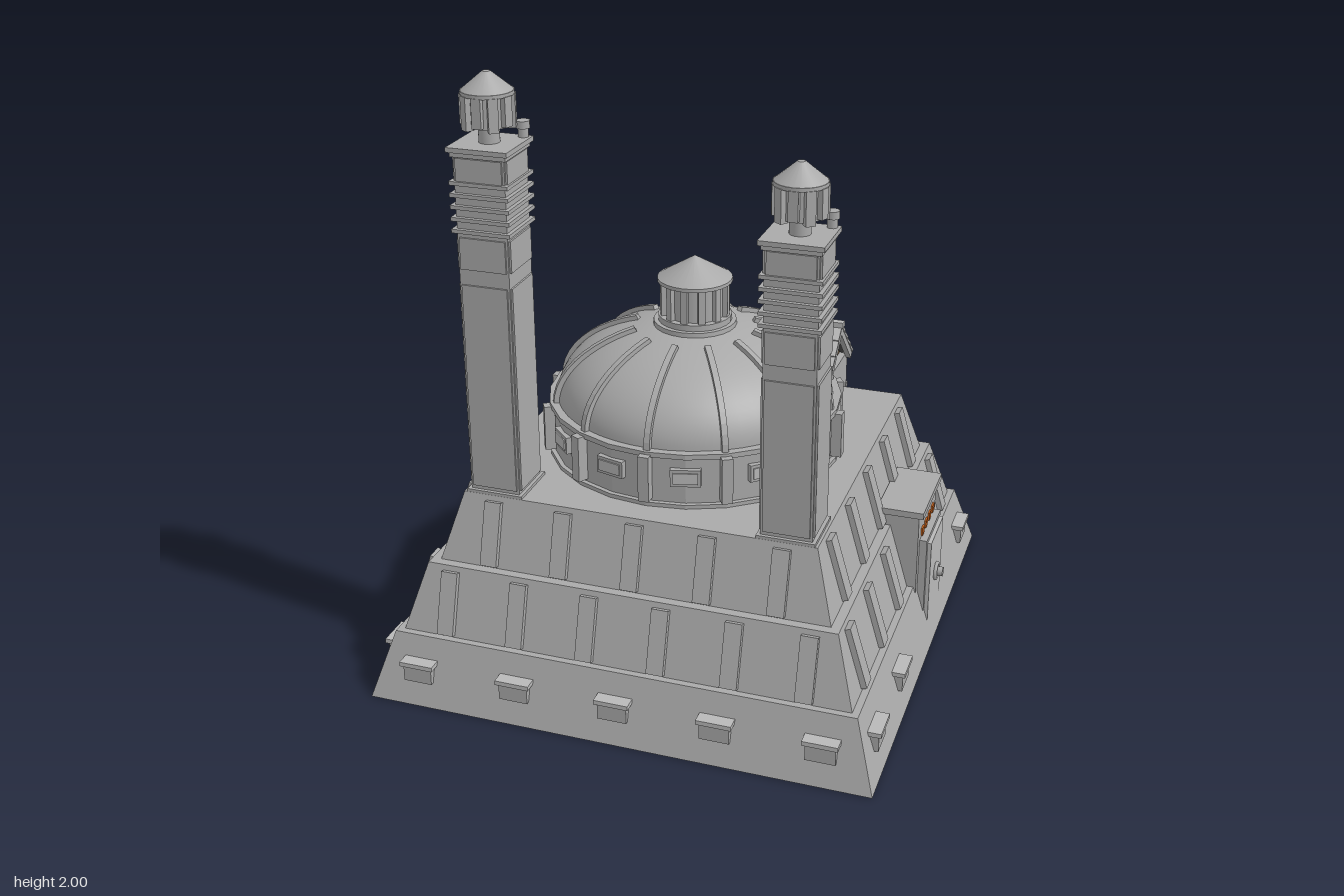
import * as THREE from 'three';

const mat = (name, color) => Object.assign(new THREE.MeshStandardMaterial({ color }), { name });
const stone = mat('stone grey', 0xa9a9a9);
const pale = mat('pale stone', 0xb8b8b8);
const dark = mat('dark iron', 0x4a4a4a);
const brown = mat('attic brown', 0x5c4a34);
const orange = mat('copper orange', 0xc8641e);

function add(parent, name, geo, m, x = 0, y = 0, z = 0) {
  const mesh = new THREE.Mesh(geo, m);
  mesh.name = name;
  mesh.position.set(x, y, z);
  parent.add(mesh);
  return mesh;
}
function group(parent, name, x = 0, y = 0, z = 0, ry = 0) {
  const g = new THREE.Group();
  g.name = name;
  g.position.set(x, y, z);
  g.rotation.y = ry;
  parent.add(g);
  return g;
}
// Box given by its centre in x and z and its bottom and top in y
const box = (p, name, m, w, d, y0, y1, x = 0, z = 0) =>
  add(p, name, new THREE.BoxGeometry(w, y1 - y0, d), m, x, (y0 + y1) / 2, z);
// Round part between two heights
const cyl = (p, name, m, rTop, rBot, y0, y1, x = 0, z = 0, n = 24) =>
  add(p, name, new THREE.CylinderGeometry(rTop, rBot, y1 - y0, n), m, x, (y0 + y1) / 2, z);
const flat = (geo) => {
  const g = geo.toNonIndexed();
  g.computeVertexNormals();
  return g;
};

// Three stepped, sloping tiers with buttresses and vents
function buildBase(root) {
  const base = group(root, 'base', -0.005, 0, 0.097);
  const tiers = [
    { y: 0, h: 0.22, bot: 0.825, top: 0.757, n: 0 },
    { y: 0.22, h: 0.22, bot: 0.735, top: 0.67, n: 6 },
    { y: 0.44, h: 0.222, bot: 0.64, top: 0.576, n: 5 },
  ];
  for (const t of tiers) {
    const geo = new THREE.CylinderGeometry(t.top * Math.SQRT2, t.bot * Math.SQRT2, t.h, 4);
    geo.rotateY(Math.PI / 4);
    add(base, 'tier', flat(geo), stone, 0, t.y + t.h / 2, 0);
    const lean = Math.atan2(t.bot - t.top, t.h);
    for (let side = 0; side < 4; side++) {
      const face = group(base, 'tierSide', 0, 0, 0, side * Math.PI / 2);
      for (let i = 0; i < t.n; i++) {
        const b = box(face, 'buttress', stone, 0.055, 0.03, t.y + 0.003, t.y + t.h - 0.012,
          (i - (t.n - 1) / 2) * 0.235, (t.bot + t.top) / 2 + 0.005);
        b.rotation.x = -lean;
      }
      if (t.n) continue;
      for (let i = -2; i <= 2; i++) {
        // leave room for the gatehouse and the side porch
        if (side === 2 && Math.abs(i) < 2) continue;
        if (side === 1 && (i === 0 || i === 1)) continue;
        box(face, 'vent', stone, 0.095, 0.06, 0.08, 0.14, i * 0.33, 0.783);
        box(face, 'ventCap', pale, 0.112, 0.064, 0.135, 0.15, i * 0.33, 0.79);
      }
    }
  }
}

// Drum, ribbed dome and lantern
function buildDome(root) {
  const dome = group(root, 'dome', -0.005, 0, 0.1);
  add(dome, 'drum', flat(new THREE.CylinderGeometry(0.47, 0.47, 0.19, 24)), stone, 0, 0.75, 0);
  for (const [y0, y1, r] of [[0.66, 0.675, 0.485], [0.83, 0.847, 0.483]])
    add(dome, 'drumRing', flat(new THREE.CylinderGeometry(r, r, y1 - y0, 24)), stone, 0, (y0 + y1) / 2, 0);

  const arc = (r, h, t) => new THREE.Vector2(r * Math.cos(t), 0.84 + h * Math.sin(t));
  const shell = [];
  for (let i = 0; i <= 16; i++) shell.push(arc(0.455, 0.262, i / 16 * 1.4));
  add(dome, 'domeShell', new THREE.LatheGeometry(shell, 48), stone);

  const rib = [];
  for (let i = 0; i <= 10; i++) rib.push(arc(0.472, 0.277, i / 10 * 1.13));
  for (let i = 10; i >= 0; i--) rib.push(arc(0.44, 0.25, i / 10 * 1.13));
  const ribGeo = new THREE.ExtrudeGeometry(new THREE.Shape(rib), { depth: 0.02, bevelEnabled: false });
  ribGeo.translate(0, 0, -0.01);
  for (let i = 0; i < 12; i++) {
    const a = i * Math.PI / 6;
    add(dome, 'rib', ribGeo, stone).rotation.y = a;
    const bay = group(dome, 'drumBay', 0, 0, 0, a);
    box(bay, 'pilaster', stone, 0.035, 0.035, 0.685, 0.838, 0, 0.487);
    const mid = group(dome, 'drumWindow', 0, 0, 0, a + Math.PI / 12);
    box(mid, 'windowFrame', stone, 0.096, 0.03, 0.738, 0.795, 0, 0.468);
    box(mid, 'windowPane', pale, 0.078, 0.008, 0.748, 0.785, 0, 0.483);
  }

  cyl(dome, 'lanternBase', stone, 0.135, 0.138, 1.07, 1.105);
  cyl(dome, 'lanternStep', stone, 0.12, 0.12, 1.1, 1.125);
  cyl(dome, 'lanternBody', stone, 0.098, 0.098, 1.12, 1.245);
  for (let i = 0; i < 12; i++) {
    const col = group(dome, 'lanternColumn', 0, 0, 0, i * Math.PI / 6);
    box(col, 'column', stone, 0.022, 0.02, 1.125, 1.24, 0, 0.103);
  }
  cyl(dome, 'lanternEave', stone, 0.122, 0.122, 1.238, 1.25);
  cyl(dome, 'lanternRoof', stone, 0.004, 0.12, 1.25, 1.32);
}

// Square tower with banded shaft and a small round lantern
function buildTower(root, x, top) {
  const t = group(root, 'tower', x, 0, 0.58);
  box(t, 'shaft', stone, 0.162, 0.162, 0.65, top);
  box(t, 'plinth', stone, 0.185, 0.185, 0.655, 0.672);
  for (let s = 0; s < 4; s++) {
    const f = group(t, 'towerSide', 0, 0, 0, s * Math.PI / 2);
    box(f, 'lowerPanel', stone, 0.148, 0.012, 0.685, top - 0.41, 0, 0.081);
    box(f, 'upperPanel', stone, 0.148, 0.012, top - 0.36, top - 0.26, 0, 0.081);
    box(f, 'topPanel', stone, 0.148, 0.012, top - 0.085, top - 0.015, 0, 0.081);
  }
  for (let i = 0; i < 5; i++)
    box(t, 'band', stone, 0.188, 0.188, top - 0.245 + i * 0.037, top - 0.233 + i * 0.037);
  box(t, 'ledge', stone, 0.178, 0.178, top - 0.012, top + 0.005);
  box(t, 'cap', stone, 0.195, 0.195, top + 0.003, top + 0.018);
  cyl(t, 'neck', stone, 0.032, 0.032, top + 0.01, top + 0.08);
  cyl(t, 'turret', stone, 0.067, 0.067, top + 0.07, top + 0.17);
  for (let i = 0; i < 10; i++) {
    const f = group(t, 'turretSlat', 0, 0, 0, i * Math.PI / 5);
    box(f, 'slat', stone, 0.03, 0.024, top + (i % 2 ? 0.063 : 0.075), top + 0.165, 0, 0.07);
  }
  cyl(t, 'turretEave', stone, 0.08, 0.08, top + 0.163, top + 0.175);
  cyl(t, 'turretRoof', stone, 0.012, 0.078, top + 0.175, top + 0.23);
  cyl(t, 'post', stone, 0.016, 0.016, top + 0.01, top + 0.065, 0.073, -0.08, 12);
  cyl(t, 'postCap', stone, 0.021, 0.021, top + 0.045, top + 0.068, 0.073, -0.08, 12);
}

// Side porch on the left flank
function buildPorch(root) {
  const p = group(root, 'porch', 0, 0, -0.07);
  box(p, 'porchBody', stone, 0.2, 0.285, 0.1, 0.487, 0.66);
  box(p, 'porchRoof', stone, 0.155, 0.305, 0.483, 0.505, 0.698);
  box(p, 'doorFrame', stone, 0.1, 0.23, 0.12, 0.385, 0.735);
  box(p, 'door', pale, 0.1, 0.2, 0.06, 0.37, 0.748);
  for (let i = 0; i < 4; i++)
    box(p, 'lightPanel', orange, 0.008, 0.028, 0.393, 0.42, 0.762, 0.083 - i * 0.055);
  const ring = add(p, 'doorRing', new THREE.TorusGeometry(0.026, 0.007, 8, 24), stone, 0.802, 0.213, 0);
  ring.rotation.y = Math.PI / 2;
  const hub = add(p, 'doorHub', new THREE.CylinderGeometry(0.016, 0.016, 0.03, 16), stone, 0.81, 0.213, 0);
  hub.rotation.z = Math.PI / 2;
}

// Gatehouse with tiled gable roof; its local +z points to the rear
function buildGatehouse(root) {
  const g = group(root, 'gatehouse', -0.005, 0, -0.728, Math.PI);
  box(g, 'walls', stone, 0.55, 0.35, 0, 0.615, 0, -0.012);
  for (const s of [-1, 1]) {
    box(g, 'cornerPilaster', stone, 0.05, 0.02, 0, 0.6, s * 0.25, 0.165);
    box(g, 'innerPilaster', stone, 0.035, 0.016, 0, 0.47, s * 0.135, 0.165);
    box(g, 'lampBracket', dark, 0.02, 0.03, 0.535, 0.55, s * 0.165, 0.172);
    cyl(g, 'lamp', orange, 0.013, 0.01, 0.51, 0.54, s * 0.165, 0.176, 10);
    box(g, 'doorJamb', orange, 0.03, 0.024, 0, 0.19, s * 0.082, 0.168);
    box(g, 'doorPost', dark, 0.02, 0.022, 0, 0.165, s * 0.058, 0.166);
  }
  box(g, 'wallBand', stone, 0.56, 0.02, 0.47, 0.49, 0, 0.166);
  box(g, 'doorLintel', orange, 0.194, 0.024, 0.16, 0.195, 0, 0.168);
  box(g, 'doorHeader', dark, 0.136, 0.022, 0.13, 0.162, 0, 0.166);
  box(g, 'gateDoor', pale, 0.1, 0.01, 0, 0.132, 0, 0.166);
  // round ornament over the door
  box(g, 'ornamentPlate', stone, 0.15, 0.014, 0.255, 0.405, 0, 0.164);
  const orn = group(g, 'ornament', 0, 0.33, 0.174);
  add(orn, 'ornamentRing', new THREE.RingGeometry(0.048, 0.06, 32), orange);
  for (let i = 0; i < 3; i++)
    add(orn, 'ornamentPetal', new THREE.RingGeometry(0.014, 0.04, 8, 1, i * Math.PI * 2 / 3 + 0.2, 1), orange);

  // dark attic behind open gable ends
  const tri = new THREE.Shape([[-0.165, 0], [0.165, 0], [0, 0.165]].map((p) => new THREE.Vector2(...p)));
  const attic = new THREE.ExtrudeGeometry(tri, { depth: 0.5, bevelEnabled: false });
  attic.translate(0, 0, -0.25).rotateY(Math.PI / 2);
  add(g, 'attic', attic, brown, 0, 0.613, 0);
  for (const s of [0, 1]) {
    const slope = group(g, 'roofSlope', 0, 0.788, 0, s * Math.PI);
    const pitch = group(slope, 'roofPitch');
    pitch.rotation.x = Math.atan2(0.178, 0.182);
    add(pitch, 'roofBoard', new THREE.BoxGeometry(0.585, 0.014, 0.25), dark, 0, -0.008, 0.127);
    for (const e of [-1, 1])
      add(pitch, 'rafter', new THREE.BoxGeometry(0.02, 0.024, 0.25), stone, e * 0.283, -0.014, 0.127);
    for (let r = 0; r < 4; r++) {
      const shift = r % 2 ? 0.5 : 0;
      for (let c = 0; c < 6 + (r % 2); c++) {
        const x0 = Math.max(-0.298, -0.298 + (c - shift) * 0.0993);
        const x1 = Math.min(0.298, -0.298 + (c + 1 - shift) * 0.0993);
        const tile = add(pitch, 'roofTile', new THREE.BoxGeometry(x1 - x0 - 0.006, 0.01, 0.062), pale,
          (x0 + x1) / 2, 0.005, 0.033 + r * 0.0635);
        tile.rotation.x = -0.07;
      }
    }
    box(slope, 'eaveBeam', stone, 0.58, 0.016, -0.185, -0.165, 0, 0.165);
  }
  box(g, 'ridge', pale, 0.6, 0.028, 0.785, 0.806);
}

export function createModel() {
  const root = new THREE.Group();
  root.name = 'domedFortress';
  buildBase(root);
  buildDome(root);
  buildTower(root, -0.478, 1.77);
  buildTower(root, 0.47, 1.59);
  buildPorch(root);
  buildGatehouse(root);
  return root;
}
